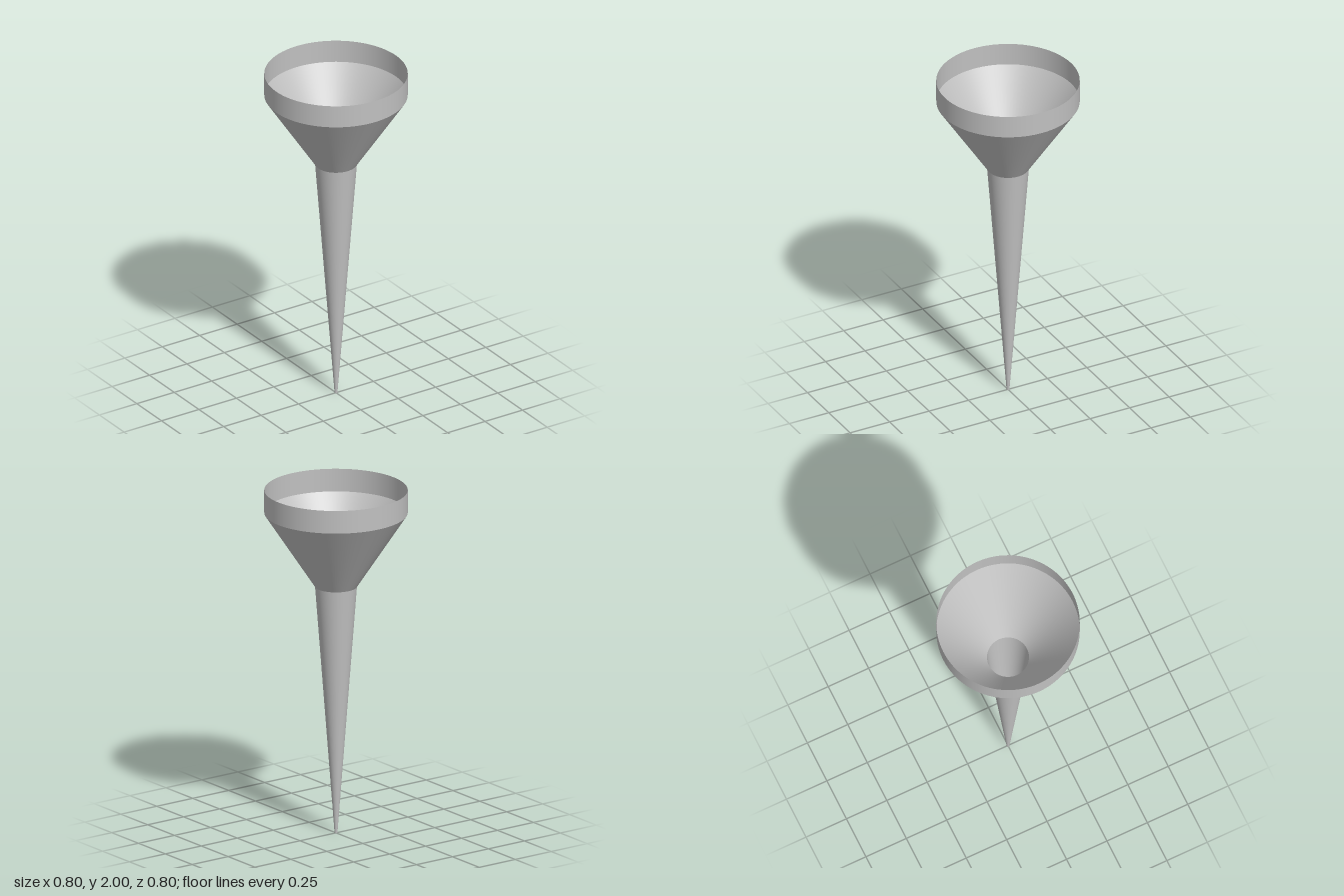
import * as THREE from 'three';

export function createModel() {
  const funnel = new THREE.Group();
  funnel.name = 'funnel';
  const grey = new THREE.MeshStandardMaterial({ color: 0xc0c0c0, side: THREE.DoubleSide });
  grey.name = 'grey';

  // Open thin-walled ring between two heights; separate rings keep the creases sharp
  const addWall = (name, bottomRadius, bottomY, topRadius, topY) => {
    const geometry = new THREE.CylinderGeometry(topRadius, bottomRadius, topY - bottomY, 96, 1, true);
    const wall = new THREE.Mesh(geometry, grey);
    wall.name = name;
    wall.position.y = (bottomY + topY) / 2;
    funnel.add(wall);
  };

  addWall('rim', 0.4, 1.868, 0.4, 2);
  addWall('cone', 0.117, 1.438, 0.4, 1.868);
  addWall('spout', 0.008, 0, 0.117, 1.438);

  // Small closing disc at the spout's end
  const tip = new THREE.Mesh(new THREE.CircleGeometry(0.008, 32), grey);
  tip.name = 'spoutTip';
  tip.rotation.x = Math.PI / 2;
  funnel.add(tip);

  return funnel;
}
